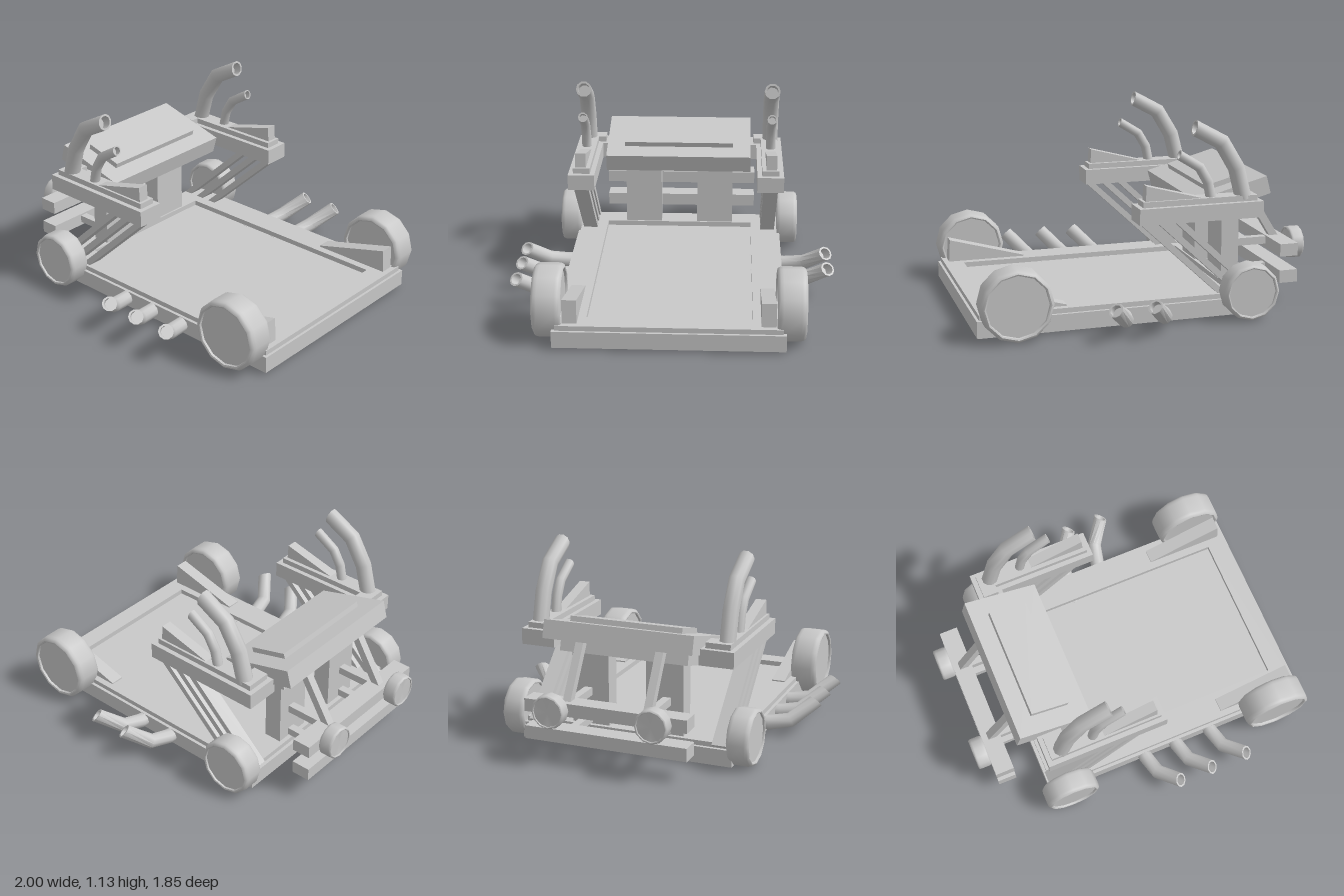
import * as THREE from 'three';
import { toCreasedNormals } from 'three/addons/utils/BufferGeometryUtils.js';

const V = (x, y, z) => new THREE.Vector3(x, y, z);

export function createModel() {
  const root = new THREE.Group();
  root.name = 'openVehicle';
  const model = new THREE.Group();
  model.name = 'body';
  model.position.z = -0.01;
  root.add(model);
  const grey = new THREE.MeshStandardMaterial({ color: 0xc8c8c8 });
  grey.name = 'plain grey';

  const add = (name, geo, parent = model) => {
    const m = new THREE.Mesh(geo, grey);
    m.name = name;
    parent.add(m);
    return m;
  };
  // box given by its min and max on each axis
  const box = (name, x0, x1, y0, y1, z0, z1, parent) => {
    const g = new THREE.BoxGeometry(x1 - x0, y1 - y0, Math.abs(z1 - z0));
    g.translate((x0 + x1) / 2, (y0 + y1) / 2, (z0 + z1) / 2);
    return add(name, g, parent);
  };
  const polygon = (pts) => new THREE.Shape(pts.map(([x, y]) => new THREE.Vector2(x, y)));
  // flat plan outline in x and z, raised from y0 to y1
  const slab = (name, shape, y0, y1) => {
    const g = new THREE.ExtrudeGeometry(shape, { depth: y1 - y0, bevelEnabled: false });
    g.rotateX(-Math.PI / 2).translate(0, y0, 0);
    return add(name, g);
  };
  // side outline in x and y, spread over a width in z
  const profile = (name, pts, z, width) => {
    const g = new THREE.ExtrudeGeometry(polygon(pts), { depth: width, bevelEnabled: false });
    g.translate(0, 0, z - width / 2);
    return add(name, g);
  };
  // diagonal bar between two points in the xy plane
  const bar = (name, a, b, thick, z, width) => {
    const dx = b[0] - a[0], dy = b[1] - a[1];
    const m = add(name, new THREE.BoxGeometry(Math.hypot(dx, dy), thick, width));
    m.position.set((a[0] + b[0]) / 2, (a[1] + b[1]) / 2, z);
    m.rotation.z = Math.atan2(dy, dx);
  };
  // pipe swept along points, with a hollow mouth at its far end
  const pipe = (name, pts, r, ref) => {
    const n = pts.length, sides = 10, pos = [], idx = [];
    const dirs = pts.slice(1).map((p, i) => p.clone().sub(pts[i]).normalize());
    const tangents = pts.map((p, i) => (i > 0 && i < n - 1
      ? dirs[i - 1].clone().add(dirs[i]).normalize() : dirs[Math.min(i, n - 2)].clone()));
    // the mouth keeps turning as the bend before it did
    const last = dirs[n - 2], before = tangents[n - 2];
    const end = last.clone().multiplyScalar(2 * last.dot(before)).sub(before);
    tangents[n - 1] = end;
    const deep = pts[n - 1].clone().addScaledVector(last, -r * 1.2);
    const stations = [[pts[0], tangents[0], 0]];
    pts.forEach((p, i) => stations.push([p, tangents[i], r]));
    stations.push([pts[n - 1], end, r * 0.75], [deep, end, r * 0.75], [deep, end, 0]);
    for (const [c, t, rad] of stations) {
      const u = ref.clone().addScaledVector(t, -ref.dot(t)).normalize();
      const w = t.clone().cross(u);
      for (let j = 0; j < sides; j++) {
        const a = (j / sides) * Math.PI * 2;
        const p = c.clone().addScaledVector(u, rad * Math.cos(a)).addScaledVector(w, rad * Math.sin(a));
        pos.push(p.x, p.y, p.z);
      }
    }
    for (let i = 0; i < stations.length - 1; i++) {
      for (let j = 0; j < sides; j++) {
        const k = (j + 1) % sides, a = i * sides, b = a + sides;
        idx.push(a + j, a + k, b + k, a + j, b + k, b + j);
      }
    }
    const g = new THREE.BufferGeometry();
    g.setAttribute('position', new THREE.Float32BufferAttribute(pos, 3));
    g.setIndex(idx);
    add(name, toCreasedNormals(g, 0.85));
  };
  // twelve-sided wheel with a rounded tyre and a recessed hub on both sides
  const wheelGeometry = (r, w) => {
    const h = w / 2, b = r * 0.16, hub = h - r * 0.08;
    const half = [[r, h - b], [r * 0.985, h - b * 0.5], [r * 0.95, h - b * 0.14], [r * 0.9, h],
      [r * 0.86, h - b * 0.1], [r * 0.85, hub], [0, hub]];
    const pts = [...half.map(([x, y]) => [x, -y]).reverse(), ...half];
    return toCreasedNormals(new THREE.LatheGeometry(pts.map(([x, y]) => new THREE.Vector2(x, y)), 12), 0.75);
  };

  // chassis: two stacked frames around a shallow floor
  const opening = () => polygon([[-0.49, -0.45], [-0.49, 0.45], [0.87, 0.45], [0.87, -0.45]]);
  const frame = (x0, x1, z) => {
    const s = polygon([[x0, -z], [x1, -z], [x1, z], [x0, z]]);
    s.holes.push(opening());
    return s;
  };
  slab('chassisFrame', frame(-0.65, 1, 0.63), 0.025, 0.12);
  slab('chassisTopFrame', frame(-0.63, 0.985, 0.612), 0.12, 0.148);
  slab('floorPanel', opening(), 0.1, 0.118);

  // cross bars at the -x end
  box('lowerCrossBar', -0.92, -0.81, 0.135, 0.21, -0.475, 0.475);
  box('upperCrossBar', -0.92, -0.81, 0.293, 0.367, -0.475, 0.475);

  // tilted console
  const console_ = new THREE.Group();
  console_.name = 'console';
  console_.position.set(-0.528, 0.66, 0);
  console_.rotation.z = -0.262;
  model.add(console_);
  box('consoleBlock', -0.222, 0.222, -0.0525, 0.0525, -0.44, 0.44, console_);
  box('consoleTopPlate', -0.115, 0.115, 0.0525, 0.083, -0.332, 0.332, console_);
  box('consoleUnderPlate', -0.11, 0.11, -0.116, -0.0525, -0.38, 0.38, console_);

  const exhaustOffsets = { '1': [0, 0.205, 0.43], '-1': [0, 0.22] };
  for (const s of [1, -1]) {
    const side = s > 0 ? 'front' : 'back';

    // console posts and the arms reaching out to the cross bars
    box(side + 'Post', -0.605, -0.5, 0.12, 0.63, s * 0.112, s * 0.333);
    box(side + 'UpperArm', -0.885, -0.6, 0.317, 0.362, s * 0.213, s * 0.259);
    box(side + 'LowerArm', -0.83, -0.6, 0.157, 0.2, s * 0.213, s * 0.259);
    bar(side + 'ConsoleBrace', [-0.875, 0.34], [-0.68, 0.66], 0.045, s * 0.236, 0.046);

    // stepped side pod in two layers
    const pod = (d) => polygon([[-0.635 + d, -0.63 + d], [0.09 - d, -0.63 + d], [0.09 - d, -0.475 - d],
      [-0.49 - d, -0.475 - d], [-0.49 - d, -0.43 - d], [-0.635 + d, -0.43 - d]].map(([x, y]) => [x, s * y]));
    slab(side + 'PodBase', pod(0), 0.578, 0.67);
    slab(side + 'PodTop', pod(0.028), 0.67, 0.702);
    profile(side + 'PodWedge', [[-0.29, 0.7], [0.045, 0.7], [0.04, 0.788]], s * 0.558, 0.062);

    // diagonal struts under the pod
    for (const x of [-0.14, -0.04, 0.06]) {
      bar(side + 'PodStrut', [x + 0.015, 0.6], [x - 0.49, 0.125], 0.035, s * 0.553, 0.085);
    }

    // upright stacks on the pod
    const z = s * 0.56;
    pipe(side + 'LargeStack', [V(-0.537, 0.68, z), V(-0.492, 0.855, z), V(-0.402, 1.005, z),
      V(-0.243, 1.092, z)], 0.047, V(0, 0, 1));
    pipe(side + 'SmallStack', [V(-0.347, 0.68, z), V(-0.325, 0.785, z), V(-0.275, 0.87, z),
      V(-0.155, 0.945, z)], 0.029, V(0, 0, 1));

    // side exhausts through the chassis rail
    for (const o of exhaustOffsets[s]) {
      pipe(side + 'Exhaust', [V(-0.055 + o, 0.078, s * 0.442), V(-0.035 + o, 0.078, s * 0.65),
        V(-0.008 + o, 0.1, s * 0.765), V(0.085 + o, 0.198, s * 0.885)], 0.043, V(1, 0, 0));
    }

    // wedge beside the large wheel
    profile(side + 'FrameWedge', [[0.49, 0.12], [0.955, 0.12], [0.945, 0.282], [0.49, 0.155]], s * 0.535, 0.08);

    // wheels
    const large = add(side + 'LargeWheel', wheelGeometry(0.203, 0.16));
    large.position.set(0.795, 0.213, s * 0.658);
    large.rotation.x = s * Math.PI / 2;
    const medium = add(side + 'MediumWheel', wheelGeometry(0.163, 0.13));
    medium.position.set(-0.538, 0.173, s * 0.673);
    medium.rotation.x = s * Math.PI / 2;
    const small = add(side + 'SmallWheel', wheelGeometry(0.096, 0.08));
    small.position.set(-0.96, 0.33, s * 0.3);
    small.rotation.z = Math.PI / 2;
  }
  // rest the tyres on the ground
  const bounds = new THREE.Box3().setFromObject(root);
  model.position.y -= bounds.min.y;
  return root;
}
